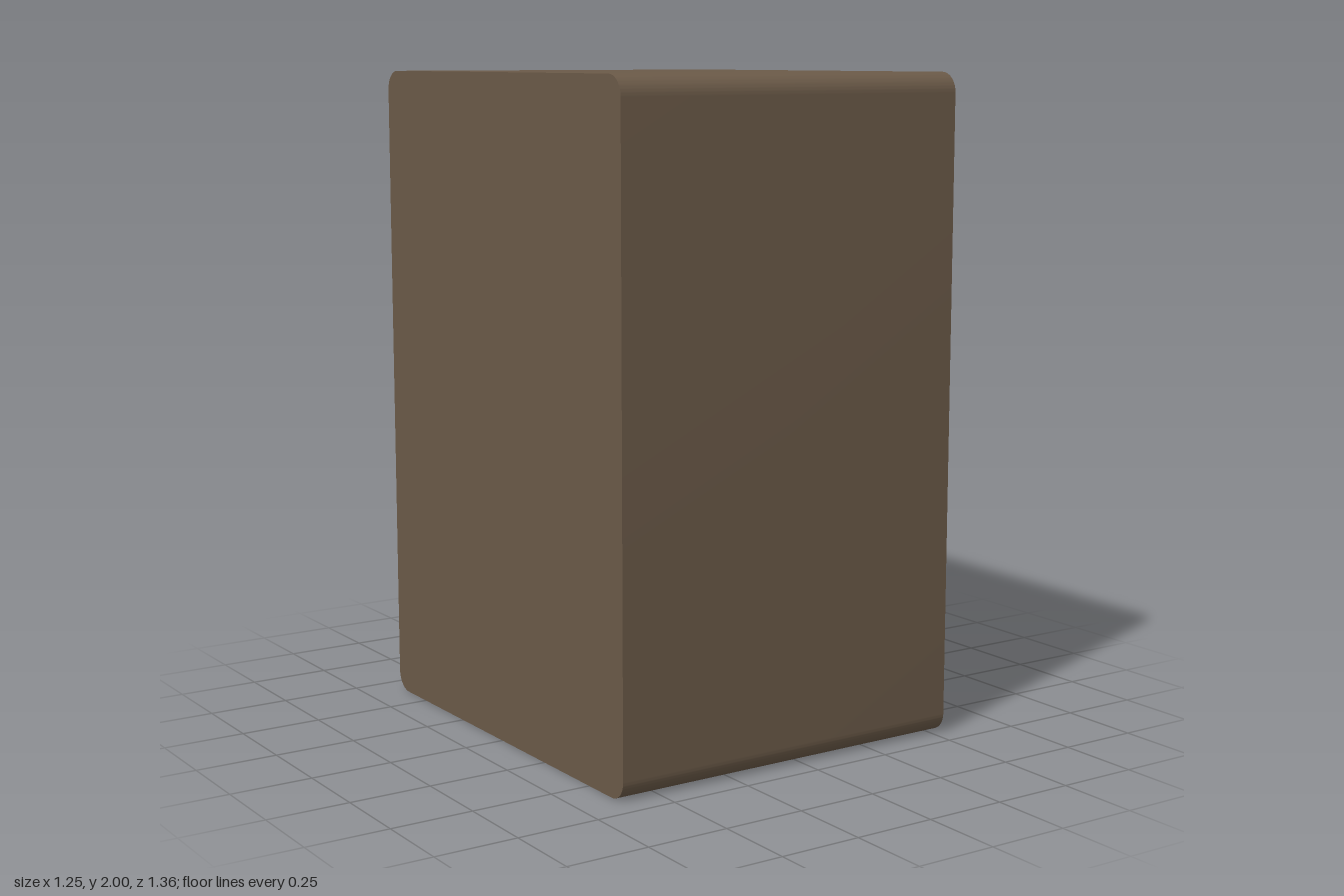
import * as THREE from 'three';
import { toCreasedNormals } from 'three/addons/utils/BufferGeometryUtils.js';

const bodyMat = new THREE.MeshStandardMaterial({ color: 0x6b5a48 });
const drawerMat = new THREE.MeshStandardMaterial({ color: 0x857766 });

const BACK = -0.625, FACE = 0.535, DRAWER_FACE = 0.575;

// Upright rounded rectangle standing on y = 0
function roundedRect(w, h, r) {
  const s = new THREE.Shape(), x = w / 2;
  s.moveTo(-x + r, 0);
  s.lineTo(x - r, 0);
  s.absarc(x - r, r, r, -Math.PI / 2, 0, false);
  s.lineTo(x, h - r);
  s.absarc(x - r, h - r, r, 0, Math.PI / 2, false);
  s.lineTo(-x + r, h);
  s.absarc(-x + r, h - r, r, Math.PI / 2, Math.PI, false);
  s.lineTo(-x, r);
  s.absarc(-x + r, r, r, Math.PI, Math.PI * 1.5, false);
  return s;
}

function addMesh(parent, name, geometry, material) {
  const mesh = new THREE.Mesh(geometry, material);
  mesh.name = name;
  parent.add(mesh);
  return mesh;
}

export function createModel() {
  const model = new THREE.Group();
  model.name = 'drawerCabinet';

  // Cabinet with four rounded long edges, extruded along x
  let body = new THREE.ExtrudeGeometry(roundedRect(1.36, 2, 0.06), {
    depth: FACE - BACK, bevelEnabled: false, curveSegments: 10,
  });
  body.rotateY(Math.PI / 2).translate(BACK, 0, 0);
  addMesh(model, 'cabinet', toCreasedNormals(body, 0.6), bodyMat);

  // Drawer front and turned knob, shared by all six drawers
  const frontGeo = new THREE.BoxGeometry(DRAWER_FACE - FACE, 0.526, 0.526);
  const profile = [
    [0.026, 0], [0.021, 0.005], [0.019, 0.012], [0.019, 0.026], [0.024, 0.031],
    [0.038, 0.033], [0.042, 0.036], [0.043, 0.040], [0.042, 0.045],
    [0.038, 0.048], [0, 0.050],
  ].map(([r, y]) => new THREE.Vector2(r, y));
  const knobGeo = toCreasedNormals(new THREE.LatheGeometry(profile, 28), 0.9);
  knobGeo.rotateZ(-Math.PI / 2);

  // Three rows of two drawers on the +x side; back column knobs sit off centre
  for (const y of [0.384, 1.004, 1.622]) {
    for (const [z, knobZ] of [[0.3125, 0.313], [-0.3125, -0.337]]) {
      const drawer = new THREE.Group();
      drawer.name = 'drawer';
      model.add(drawer);
      addMesh(drawer, 'drawerFront', frontGeo, drawerMat)
        .position.set((FACE + DRAWER_FACE) / 2, y, z);
      addMesh(drawer, 'knob', knobGeo, bodyMat)
        .position.set(DRAWER_FACE, y, knobZ);
    }
  }
  return model;
}
